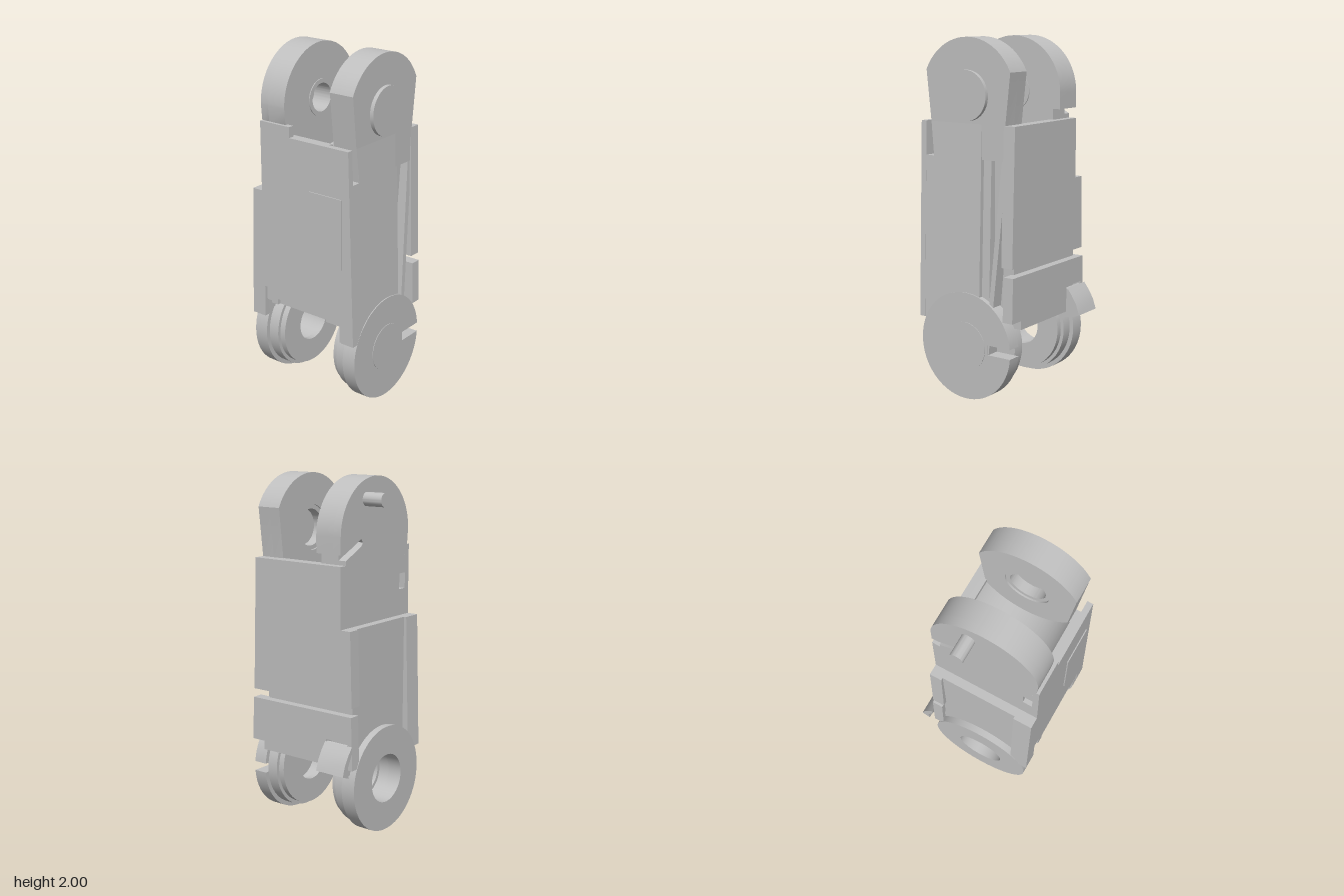
import * as THREE from 'three';
import { toCreasedNormals } from 'three/addons/utils/BufferGeometryUtils.js';

const CZ = 0.04, TOP = 1.69, LOW = 0.305;   // hinge axes: z, upper y, lower y

export function createModel() {
  const group = new THREE.Group();
  const grey = new THREE.MeshStandardMaterial({ color: 0xc0c0c0 });
  grey.name = 'plain grey';

  const add = (name, geo) => {
    const m = new THREE.Mesh(toCreasedNormals(geo, 0.5), grey);
    m.name = name;
    group.add(m);
    return m;
  };
  const poly = (pts) => new THREE.Shape(pts.map(p => new THREE.Vector2(...p)));
  const disc = (y, r, hole) => {
    const s = new THREE.Shape().absarc(CZ, y, r, 0, Math.PI * 2, false);
    return hole ? bore(s, y, hole) : s;
  };
  const bore = (s, y, r) => {
    s.holes.push(new THREE.Path().absarc(CZ, y, r, 0, Math.PI * 2, true));
    return s;
  };
  const extrude = (shape, depth) => new THREE.ExtrudeGeometry(shape, { depth, bevelEnabled: false, curveSegments: 40 });
  // profile drawn in (z, y), spanning x0..x1; flare widens the outer +x face downwards
  const slab = (name, shape, x0, x1, flare = false) => {
    const g = extrude(shape, x1 - x0);
    g.rotateY(-Math.PI / 2);
    g.translate(x1, 0, 0);
    if (flare) {
      const p = g.attributes.position;
      for (let i = 0; i < p.count; i++)
        if (p.getX(i) > x1 - 1e-3) p.setX(i, x1 + 0.032 * (1.54 - p.getY(i)));
    }
    return add(name, g);
  };
  // outline drawn in (x, y), spanning z0..z1
  const plate = (name, pts, z0, z1) => {
    const g = extrude(poly(pts), z1 - z0);
    g.translate(0, 0, z0);
    return add(name, g);
  };

  // Core with a round trough at the top and an arch below
  const coreShape = (trough) => {
    const s = new THREE.Shape();
    const archA = Math.acos(0.26 / 0.30);
    s.moveTo(0.34, 0.53);
    s.lineTo(0.34, trough ? 1.54 : 1.35);
    if (trough) {
      const a = Math.asin(0.15 / 0.30);
      s.absarc(CZ, TOP, 0.30, -a, -Math.PI + a, true);
      s.lineTo(-0.23, 1.54);
    } else s.lineTo(-0.23, 1.35);
    s.lineTo(-0.23, LOW + 0.30 * Math.sin(archA));
    s.absarc(CZ, LOW, 0.30, Math.PI - archA, 0.85, true);
    s.lineTo(0.30, 0.53);
    s.closePath();
    if (trough) s.holes.push(new THREE.Path([[0.27, 1.35], [0.27, 1.44], [0.325, 1.44], [0.325, 1.35]].map(p => new THREE.Vector2(...p))));
    return s;
  };
  slab('core', coreShape(true), -0.26, 0.19);
  slab('coreSide', coreShape(false), 0.19, 0.29);

  // Right recessed flank with a front rim
  slab('flank', poly([[-0.23, 0.46], [0.34, 0.46], [0.34, 1.2], [-0.23, 1.2]]), -0.31, -0.26);
  plate('flankRim', [[-0.35, 0.43], [-0.265, 0.43], [-0.26, 1.2], [-0.325, 1.2]], 0.25, 0.35);

  // Front cover and its slightly raised panel
  plate('frontCover', [[-0.35, 0.43], [-0.258, 0.43], [-0.255, 0.62], [-0.205, 0.62], [-0.205, 0.53], [-0.16, 0.53],
    [-0.16, 0.565], [0.19, 0.565], [0.19, 0.53], [0.295, 0.53], [0.295, 0.43], [0.378, 0.43], [0.34, 1.54],
    [-0.055, 1.54], [-0.055, 1.6], [-0.26, 1.6], [-0.26, 1.2], [-0.325, 1.2]], 0.325, 0.36);
  plate('frontPanel', [[0.08, 0.87], [0.3, 0.87], [0.3, 1.27], [0.08, 1.27]], 0.358, 0.366);

  // Back covers, the lower one with a cut for the clip
  plate('upperBackCover', [[0.365, 0.78], [0.34, 1.54], [-0.26, 1.54], [-0.26, 1.2], [-0.325, 1.2], [-0.337, 0.78]], -0.272, -0.20);
  plate('lowerBackCover', [[0.366, 0.73], [-0.338, 0.73], [-0.347, 0.43], [-0.32, 0.43], [-0.32, 0.58], [-0.165, 0.58],
    [-0.165, 0.43], [0.29, 0.43], [0.29, 0.48], [0.374, 0.48]], -0.278, -0.215);

  // Right ear, straight sided, with a blind socket on the inside
  const earRight = (slot) => {
    const s = new THREE.Shape();
    s.moveTo(0.35, 1.6);
    s.absarc(CZ, TOP, 0.31, 0, Math.PI, false);
    s.lineTo(-0.27, 1.6);
    if (slot) [[-0.235, 1.6], [-0.09, 1.67], [-0.075, 1.65], [-0.09, 1.63], [-0.225, 1.565]].forEach(p => s.lineTo(...p));
    else s.lineTo(-0.225, 1.6);
    [[-0.225, 1.5], [-0.12, 1.4], [0.04, 1.37], [0.2, 1.4], [0.3, 1.5], [0.34, 1.58]].forEach(p => s.lineTo(...p));
    s.closePath();
    return s;
  };
  slab('rightEarOuter', earRight(true), -0.26, -0.21);
  slab('rightEarInner', bore(earRight(false), TOP, 0.08), -0.21, -0.095);
  slab('rightSocketRing', disc(TOP, 0.105, 0.08), -0.096, -0.09);

  // Left ear, narrowing downwards
  const earLeft = () => {
    const s = new THREE.Shape();
    s.moveTo(0.27, 1.35);
    s.lineTo(0.32, 1.82);
    s.absarc(CZ, TOP, 0.31, Math.asin(0.13 / 0.31), Math.PI - Math.asin(0.13 / 0.31), false);
    s.lineTo(-0.205, 1.5);
    s.lineTo(-0.2, 1.35);
    s.closePath();
    return s;
  };
  slab('leftEarOuter', earLeft(), 0.26, 0.34);
  slab('leftEarInner', bore(earLeft(), TOP, 0.13), 0.19, 0.26);
  slab('leftSocketRing', disc(TOP, 0.13, 0.105), 0.2, 0.26);
  slab('upperPinCap', disc(TOP, 0.137), 0.33, 0.362);

  // Left flank, notched behind the front cover
  slab('leftFlank', poly([[-0.055, 0.43], [0.355, 0.43], [0.355, 1.54], [0.335, 1.54], [0.325, 1.35], [0.27, 1.35],
    [0.29, 1.54], [-0.055, 1.54]]), 0.28, 0.34, true);
  slab('flankStep', poly([[-0.105, 0.34], [-0.05, 0.34], [-0.05, 1.54], [-0.105, 1.54]]), 0.28, 0.315, true);
  slab('diagonalStrut', poly([[-0.11, 0.2], [-0.085, 0.21], [-0.2, 1.53], [-0.235, 1.53]]), 0.28, 0.33, true);

  // Lower lugs: stepped discs; the right one is bored through
  slab('rightLug', disc(LOW, 0.305, 0.14), -0.35, -0.265);
  slab('rightLugStep', disc(LOW, 0.28, 0.14), -0.265, -0.2);
  slab('rightLugFace', disc(LOW, 0.26, 0.12), -0.2, -0.165);
  const notched = new THREE.Shape();
  notched.moveTo(-0.11, 0.335);
  notched.lineTo(-0.11, 0.28);
  notched.absarc(CZ, LOW, 0.305, Math.PI + 0.08, Math.PI * 3 - 0.1, false);
  notched.closePath();
  slab('leftLug', notched, 0.295, 0.376);
  slab('leftLugStep', disc(LOW, 0.28, 0.14), 0.23, 0.295);
  slab('leftLugFace', disc(LOW, 0.26, 0.12), 0.195, 0.23);
  slab('lowerPinCap', disc(LOW, 0.137), 0.37, 0.379);

  // Side peg
  const peg = new THREE.CylinderGeometry(0.038, 0.038, 0.14, 32);
  peg.rotateZ(Math.PI / 2);
  peg.translate(-0.312, 1.88, 0 - 0.043);
  add('sidePeg', peg);

  // Back clip: curved arm and outer tab
  slab('clipArm', poly([[-0.21, 0.42], [-0.25, 0.39], [-0.32, 0.405], [-0.34, 0.45], [-0.31, 0.53], [-0.27, 0.57], [-0.23, 0.54]]), -0.31, -0.17);
  slab('clipTab', poly([[-0.315, 0.40], [-0.365, 0.42], [-0.345, 0.48], [-0.315, 0.53], [-0.285, 0.57], [-0.285, 0.53], [-0.32, 0.46]]), -0.35, -0.165);

  return group;
}
